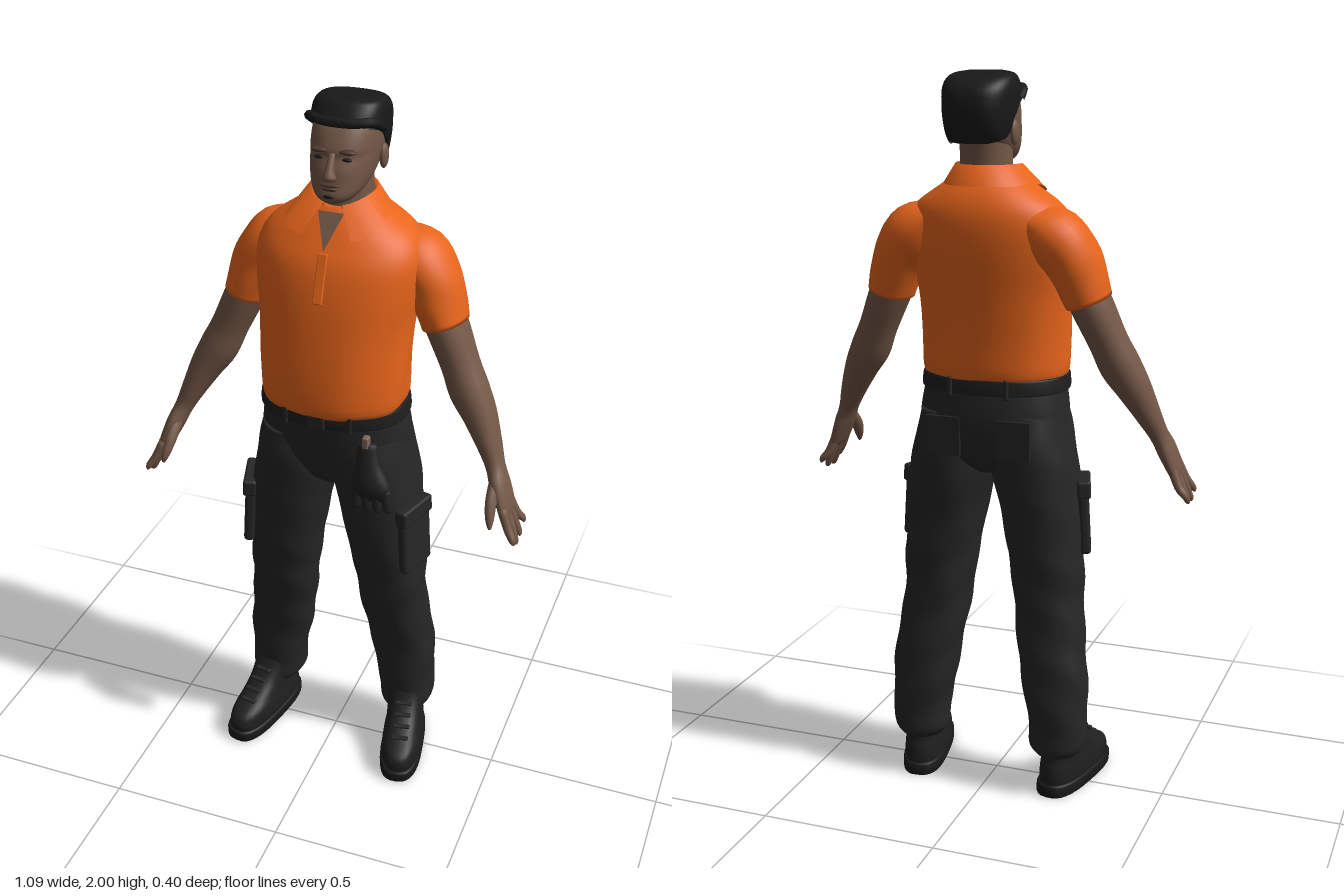
import * as THREE from 'three';
import { RoundedBoxGeometry } from 'three/addons/geometries/RoundedBoxGeometry.js';

const mat = (name, color, side = THREE.FrontSide) => {
  const m = new THREE.MeshStandardMaterial({ color, side });
  m.name = name;
  return m;
};

// Catmull-Rom interpolation between rows of numbers
function smoothRows(rows, steps) {
  const out = [], at = i => rows[Math.max(0, Math.min(rows.length - 1, i))];
  for (let i = 0; i < rows.length - 1; i++) for (let s = 0; s < steps; s++) {
    const t = s / steps;
    out.push(at(i).map((p, k) => {
      const a = at(i - 1)[k], c = at(i + 1)[k], d = at(i + 2)[k];
      return p + 0.5 * t * (c - a + t * (2 * a - 5 * p + 4 * c - d + t * (3 * (p - c) + d - a)));
    }));
  }
  out.push(rows[rows.length - 1]);
  return out;
}

function surface(pos, idx) {
  const g = new THREE.BufferGeometry();
  g.setAttribute('position', new THREE.Float32BufferAttribute(pos, 3));
  g.setIndex(idx);
  g.computeVertexNormals();
  return g;
}

// Closed loft through rows [x, y, z, half width, half depth]; tilt turns sections along the path
function loft(rows, { n = 2, seg = 28, steps = 4, tilt = false, fold = () => 1 } = {}) {
  const r = smoothRows(rows, steps), pos = [], idx = [], last = r.length - 1;
  const centre = i => new THREE.Vector3(r[i][0], r[i][1], r[i][2]);
  const pw = v => Math.sign(v) * Math.abs(v) ** (2 / n);
  for (let i = 0; i <= last; i++) {
    const U = new THREE.Vector3(1, 0, 0), V = new THREE.Vector3(0, 0, 1), c = centre(i);
    if (tilt) {
      const T = centre(Math.min(last, i + 1)).sub(centre(Math.max(0, i - 1))).normalize();
      V.addScaledVector(T, -V.dot(T)).normalize();
      U.crossVectors(T, V);
    }
    for (let j = 0; j < seg; j++) {
      const a = j / seg * Math.PI * 2, f = fold(a, r[i][1]);
      const p = c.clone().addScaledVector(U, r[i][3] * f * pw(Math.cos(a))).addScaledVector(V, r[i][4] * f * pw(Math.sin(a)));
      pos.push(p.x, p.y, p.z);
    }
  }
  pos.push(...centre(0).toArray(), ...centre(last).toArray());
  const c0 = (last + 1) * seg;
  for (let j = 0; j < seg; j++) {
    const k = (j + 1) % seg;
    idx.push(c0, j, k, c0 + 1, last * seg + k, last * seg + j);
    for (let i = 0; i < last; i++) {
      const a = i * seg + j, b = i * seg + k;
      idx.push(a, a + seg, b, b, a + seg, b + seg);
    }
  }
  return surface(pos, idx);
}

// Upright loft from rows [y, x max, x min, z front, z back], listed upwards
const upright = (rows, opt) => loft(rows.map(([y, o, i, f, b]) => [(o + i) / 2, y, (f + b) / 2, (o - i) / 2, (f - b) / 2]), opt);
const centred = (rows, opt, x = 0) => upright(rows.map(([y, w, f, b]) => [y, x + w, x - w, f, b]), opt);
const ball = (x, y, z, a, b, c) => new THREE.SphereGeometry(1, 16, 12).scale(a, b, c).translate(x, y, z);
const box = (x, y, z, a, b, c, r = 0.005) => new RoundedBoxGeometry(a, b, c, 2, r).translate(x, y, z);

// Reflected copy with the corner order reversed
function mirrored(geo) {
  const g = geo.clone().scale(-1, 1, 1);
  const arrays = g.index ? [[g.index.array, 1]] : Object.values(g.attributes).map(at => [at.array, at.itemSize]);
  for (const [a, s] of arrays) for (let i = 0; i < a.length; i += 3 * s) for (let k = 0; k < s; k++) {
    [a[i + k], a[i + 2 * s + k]] = [a[i + 2 * s + k], a[i + k]];
  }
  return g;
}

export function createModel() {
  const root = new THREE.Group();
  const skin = mat('skin', 0x745847), shirt = mat('orange cloth', 0xec671c, THREE.DoubleSide);
  const cloth = mat('black cloth', 0x262627), leather = mat('boot leather', 0x1f1f20), hair = mat('black hair', 0x191919);
  const lip = mat('dark skin', 0x4f382f), clip = mat('brown clip', 0x80685a);
  const add = (name, geo, m, parent = root) => {
    const mesh = new THREE.Mesh(geo, m);
    mesh.name = name;
    parent.add(mesh);
  };
  const pair = (name, geo, m) => {
    add('left ' + name, geo, m);
    add('right ' + name, mirrored(geo), m);
  };

  // Shirt body with soft folds near the waist
  const shirtFold = (a, y) => 1 + 0.012 * Math.sin(7 * a + 14 * y) * Math.max(0, Math.min(1, (1.5 - y) * 5));
  add('shirt body', centred([
    [1.185, 0.185, 0.15, -0.145], [1.21, 0.2, 0.168, -0.16], [1.3, 0.203, 0.165, -0.166], [1.42, 0.208, 0.15, -0.18],
    [1.52, 0.222, 0.133, -0.195], [1.6, 0.225, 0.11, -0.2], [1.655, 0.2, 0.078, -0.193], [1.7, 0.14, 0.048, -0.172], [1.735, 0.085, 0.02, -0.14],
  ], { n: 2.25, seg: 48, fold: shirtFold }), shirt);
  pair('sleeve', loft([
    [0.13, 1.625, -0.09, 0.045, 0.075], [0.19, 1.585, -0.09, 0.078, 0.095], [0.235, 1.53, -0.082, 0.077, 0.093],
    [0.262, 1.47, -0.073, 0.069, 0.086], [0.281, 1.415, -0.067, 0.062, 0.08],
  ], { tilt: true, fold: (a, y) => 1 + 0.015 * Math.sin(3 * a + 50 * y) }), shirt);

  // Collar: a folded strip, open at the throat, with points at the front
  const cp = [], ci = [], CN = 24;
  for (let i = 0; i <= CN; i++) {
    const a = -Math.PI + 0.3 + (i / CN) * (2 * Math.PI - 0.6), s = Math.sin(a), c = -Math.cos(a);
    const front = Math.max(0, c) ** 2;
    cp.push(0.076 * s, 1.748 - 0.025 * front, -0.06 + 0.082 * c);
    cp.push(0.088 * s, 1.765 - 0.025 * front, -0.06 + 0.09 * c);
    cp.push((0.122 + 0.12 * front) * s, 1.712 - 0.045 * front, -0.058 + (0.122 + 0.026 * front) * c);
    if (i < CN) for (let k = 0; k < 2; k++) {
      const q = i * 3 + k;
      ci.push(q, q + 1, q + 3, q + 1, q + 4, q + 3);
    }
  }
  add('collar', surface(cp, ci), shirt);
  add('open throat', surface([-0.035, 1.725, 0.037, 0.035, 1.725, 0.037, 0, 1.64, 0.096], [0, 2, 1]), skin);
  add('placket', box(0, 0, 0, 0.026, 0.13, 0.008, 0.003).rotateX(-0.36).translate(0, 1.575, 0.118), shirt);

  // Arms
  pair('arm', loft([
    [0.24, 1.5, -0.075, 0.055, 0.068], [0.285, 1.41, -0.066, 0.056, 0.07], [0.33, 1.31, -0.052, 0.052, 0.06], [0.36, 1.245, -0.04, 0.055, 0.058],
    [0.395, 1.185, -0.028, 0.047, 0.053], [0.432, 1.11, -0.008, 0.034, 0.043], [0.457, 1.055, 0.01, 0.026, 0.034],
    [0.477, 1.01, 0.026, 0.025, 0.047], [0.5, 0.955, 0.037, 0.019, 0.051], [0.508, 0.935, 0.04, 0.01, 0.042],
  ], { tilt: true, seg: 20 }), skin);
  // Fingers fanned front to back: base z, tip z, tip y
  [[0.075, 0.098, 0.875], [0.051, 0.065, 0.858], [0.027, 0.027, 0.861], [0.003, -0.01, 0.882]].forEach(([z0, z1, y], i) =>
    pair('finger ' + (i + 1), loft([
      [0.497, 0.965, z0, 0.013, 0.014], [0.519, 0.915, (z0 + z1) / 2, 0.012, 0.0125], [0.537, y + 0.012, z1, 0.0095, 0.01], [0.541, y, z1, 0.003, 0.004],
    ], { tilt: true, seg: 10, steps: 3 }), skin));
  pair('thumb', loft([
    [0.465, 1.025, 0.04, 0.016, 0.017], [0.468, 0.985, 0.083, 0.016, 0.018], [0.474, 0.948, 0.11, 0.012, 0.013], [0.478, 0.925, 0.12, 0.004, 0.005],
  ], { tilt: true, seg: 10, steps: 3 }), skin);

  // Neck and head
  add('neck', centred([[1.66, 0.08, 0.035, -0.14], [1.74, 0.07, 0.018, -0.133], [1.8, 0.068, 0.02, -0.14], [1.84, 0.068, 0.02, -0.15]], {}, 0.008), skin);
  add('head', centred([
    [1.757, 0.02, 0.06, 0.0], [1.768, 0.045, 0.078, -0.05], [1.785, 0.062, 0.084, -0.085], [1.81, 0.075, 0.078, -0.125], [1.845, 0.083, 0.071, -0.165],
    [1.875, 0.087, 0.058, -0.185], [1.895, 0.088, 0.056, -0.19], [1.935, 0.087, 0.034, -0.19], [1.965, 0.078, 0.005, -0.175], [1.98, 0.05, -0.02, -0.14],
  ], { n: 2.3, seg: 36 }, 0.01), skin);
  add('nose', loft([
    [0.01, 1.822, 0.072, 0.012, 0.008], [0.01, 1.832, 0.079, 0.018, 0.016], [0.01, 1.85, 0.074, 0.012, 0.015], [0.01, 1.888, 0.056, 0.008, 0.007],
  ], { seg: 14 }), skin);
  add('upper lip', ball(0.01, 1.812, 0.076, 0.026, 0.005, 0.008), lip);
  add('lower lip', ball(0.01, 1.803, 0.077, 0.022, 0.006, 0.008), lip);
  add('chin beard', ball(0.01, 1.784, 0.082, 0.014, 0.005, 0.005), hair);
  for (const s of [-1, 1]) {
    const side = s > 0 ? 'left ' : 'right ', x = 0.01 + s * 0.036;
    add(side + 'eye', ball(x, 1.873, 0.05, 0.014, 0.005, 0.007), hair);
    add(side + 'brow', ball(x, 1.892, 0.048, 0.023, 0.007, 0.013), lip);
    add(side + 'ear', ball(0.01 + s * 0.088, 1.845, -0.082, 0.011, 0.033, 0.021), skin);
  }

  // Cropped hair: cap whose lower edge slopes from the forehead to the nape
  const cap = centred([
    [1.81, 0.079, 0.0, -0.165], [1.84, 0.087, 0.02, -0.188], [1.88, 0.093, 0.035, -0.201], [1.92, 0.095, 0.035, -0.203], [1.955, 0.095, 0.02, -0.193],
    [1.98, 0.09, 0.002, -0.165], [1.994, 0.076, -0.012, -0.125], [2.0, 0.045, -0.025, -0.085],
  ], { n: 2.7, seg: 40, steps: 5 }, 0.01);
  const p = cap.attributes.position;
  for (let i = 0; i < p.count; i++) {
    const z = p.getZ(i);
    const edge = z > -0.07 ? 1.915 + (z + 0.07) * 0.35 : z > -0.115 ? 1.915 + (z + 0.07) * 1.7 : 1.838 + (z + 0.115) * 0.35;
    p.setY(i, Math.max(p.getY(i), edge));
  }
  cap.computeVertexNormals();
  add('hair', cap, hair);
  add('front hair roll', new THREE.TubeGeometry(new THREE.CatmullRomCurve3([
    [-0.083, 1.925, -0.06], [-0.073, 1.955, -0.005], [-0.03, 1.955, 0.02], [0.05, 1.955, 0.02], [0.093, 1.955, -0.005], [0.103, 1.925, -0.06],
  ].map(v => new THREE.Vector3(...v))), 30, 0.012, 8), hair);

  // Trousers with creases at the knee and ankle
  const crease = (a, y) => 1 + (y < 0.72 ? 0.022 : 0.008) * Math.sin(2 * a + 42 * y) + 0.012 * Math.sin(5 * a - 23 * y);
  add('trouser seat', centred([
    [0.93, 0.05, 0.06, -0.1], [0.97, 0.15, 0.1, -0.14], [1.03, 0.205, 0.125, -0.155], [1.1, 0.207, 0.138, -0.16], [1.195, 0.19, 0.148, -0.15],
  ], { n: 2.3, seg: 40 }), cloth);
  pair('trouser leg', upright([
    [0.12, 0.268, 0.145, 0.01, -0.13], [0.145, 0.285, 0.13, 0.018, -0.143], [0.2, 0.287, 0.128, 0.018, -0.145], [0.3, 0.288, 0.108, 0.022, -0.145],
    [0.4, 0.28, 0.092, 0.036, -0.138], [0.55, 0.262, 0.07, 0.068, -0.125], [0.65, 0.258, 0.058, 0.088, -0.128], [0.8, 0.25, 0.032, 0.11, -0.138],
    [0.93, 0.236, 0.004, 0.123, -0.153], [1.03, 0.218, 0.005, 0.128, -0.154], [1.1, 0.2, 0.02, 0.12, -0.14],
  ], { n: 2.3, seg: 32, steps: 6, fold: crease }), cloth);
  const lean = g => g.rotateY(-0.3).rotateZ(0.06);
  pair('cargo pocket', lean(box(0, 0, 0, 0.03, 0.2, 0.125, 0.012)).translate(0.245, 0.795, 0.038), cloth);
  pair('pocket flap', lean(box(0, 0, 0, 0.038, 0.05, 0.132, 0.008)).translate(0.242, 0.88, 0.04), cloth);
  pair('back pocket', box(0.1, 1.04, -0.154, 0.1, 0.11, 0.008, 0.003), cloth);

  // Belt, loops and clip
  add('belt', centred([[1.158, 0.203, 0.152, -0.157], [1.163, 0.206, 0.156, -0.16], [1.195, 0.203, 0.158, -0.158], [1.2, 0.2, 0.154, -0.155]],
    { n: 2.3, seg: 40, steps: 2 }), leather);
  add('buckle', box(0, 1.178, 0.158, 0.05, 0.042, 0.012), cloth);
  pair('belt loop', box(0.09, 1.178, 0.146, 0.014, 0.055, 0.012), cloth);
  pair('rear belt loop', box(0.08, 1.178, -0.154, 0.014, 0.055, 0.012), cloth);
  add('clip', box(0.14, 1.142, 0.152, 0.018, 0.035, 0.024), clip);

  // Work gloves hanging from the belt
  const gloves = new THREE.Group();
  gloves.name = 'hanging gloves';
  root.add(gloves);
  add('glove palm', loft([
    [0.165, 0.98, 0.162, 0.05, 0.02], [0.16, 1.02, 0.165, 0.055, 0.03], [0.148, 1.08, 0.155, 0.035, 0.025], [0.142, 1.135, 0.145, 0.025, 0.015],
  ]), leather, gloves);
  for (let i = 0; i < 4; i++) add('glove finger ' + (i + 1), loft([
    [0.118 + i * 0.033, 0.935 + 0.01 * Math.abs(i - 1), 0.165, 0.007, 0.01], [0.122 + i * 0.03, 0.96, 0.167, 0.015, 0.023], [0.126 + i * 0.025, 1.02, 0.163, 0.014, 0.018],
  ], { seg: 12 }), leather, gloves);

  // Boots with toes turned out
  const place = g => g.rotateY(0.19).translate(0.222, 0, 0);
  pair('boot', place(upright([
    [0.025, 0.056, -0.056, 0.182, -0.13], [0.05, 0.059, -0.059, 0.188, -0.132], [0.08, 0.057, -0.057, 0.175, -0.13], [0.105, 0.053, -0.053, 0.125, -0.125],
    [0.135, 0.053, -0.053, 0.07, -0.125], [0.175, 0.055, -0.055, 0.03, -0.125], [0.22, 0.055, -0.055, 0.005, -0.12],
  ], { n: 2.5, seg: 32 })), leather);
  pair('boot sole', place(upright([
    [0, 0.058, -0.058, 0.188, -0.135], [0.004, 0.062, -0.062, 0.194, -0.138], [0.03, 0.062, -0.062, 0.196, -0.138], [0.036, 0.056, -0.056, 0.188, -0.13],
  ], { n: 2.8, seg: 32, steps: 2 })), hair);
  for (let i = 0; i < 4; i++) pair('boot lace ' + (i + 1), place(box(0, 0.108 + i * 0.021, 0.118 - i * 0.028, 0.05, 0.008, 0.014, 0.003)), cloth);
  return root;
}
